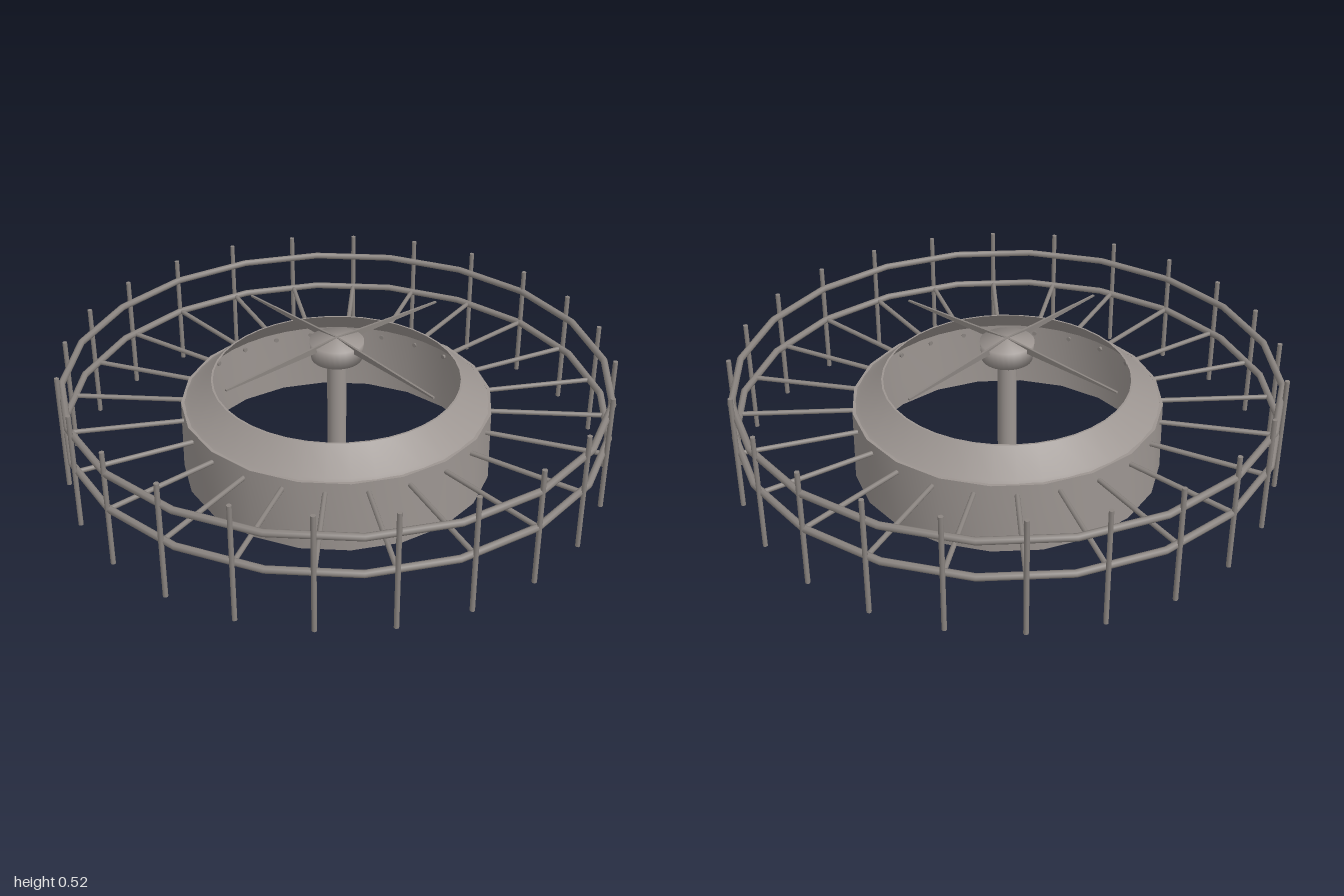
import * as THREE from 'three';
import { toCreasedNormals } from 'three/addons/utils/BufferGeometryUtils.js';

const bodyMetal = new THREE.MeshStandardMaterial({ color: 0x9c9591, side: THREE.DoubleSide });
const barMetal = new THREE.MeshStandardMaterial({ color: 0x8a8480, side: THREE.DoubleSide });

function add(parent, name, geometry, material, y = 0) {
  const mesh = new THREE.Mesh(geometry, material);
  mesh.name = name;
  mesh.position.y = y;
  parent.add(mesh);
  return mesh;
}

function lathe(points, sides) {
  return new THREE.LatheGeometry(points.map(([r, y]) => new THREE.Vector2(r, y)), sides);
}

// Turned part with crisp profile corners and smooth sides
function turned(points, sides) {
  return toCreasedNormals(lathe(points, sides), 0.42);
}

export function createModel() {
  const model = new THREE.Group();
  model.name = 'rotorWithGuardRail';
  const railHeights = [0.23, 0.37];

  // Drum wall and its sloping collar, open at top and bottom
  add(model, 'drumWall', turned([
    [0.555, 0], [0.57, 0], [0.567, 0.272], [0.555, 0.272], [0.555, 0],
  ], 20), bodyMetal);
  add(model, 'drumCollar', turned([
    [0.56, 0.268], [0.54, 0.278], [0.455, 0.36], [0.448, 0.36], [0.53, 0.27], [0.56, 0.268],
  ], 40), bodyMetal);

  // Guard rails
  for (const y of railHeights) {
    const rail = new THREE.TorusGeometry(0.985, 0.013, 8, 20).rotateX(Math.PI / 2);
    add(model, 'guardRail', rail, barMetal, y);
  }

  // Posts and spokes every 15 degrees
  const postGeometry = new THREE.CylinderGeometry(0.009, 0.009, 0.445, 8);
  const spokeGeometry = new THREE.CylinderGeometry(0.009, 0.009, 0.44, 8)
    .rotateZ(Math.PI / 2).translate(0.765, 0, 0);
  for (let i = 0; i < 24; i++) {
    const bay = new THREE.Group();
    bay.name = 'railBay';
    bay.rotation.y = (i * Math.PI) / 12;
    add(bay, 'post', postGeometry, barMetal, 0.2325).position.x = 0.99;
    add(bay, 'spoke', spokeGeometry, barMetal, railHeights[0]);
    model.add(bay);
  }

  // Central shaft and softly shaded hub
  add(model, 'shaft', new THREE.CylinderGeometry(0.035, 0.035, 0.44, 24), bodyMetal, 0.22);
  add(model, 'hub', lathe([
    [0, 0.435], [0.092, 0.435], [0.098, 0.503], [0, 0.515],
  ], 32), bodyMetal);

  // Four thin tapering blades set on edge
  const outline = new THREE.Shape([
    [0, 0.488], [0.495, 0.486], [0.495, 0.492], [0, 0.516],
  ].map(([x, y]) => new THREE.Vector2(x, y)));
  const bladeGeometry = new THREE.ExtrudeGeometry(outline, { depth: 0.008, bevelEnabled: false })
    .translate(0, 0, -0.004);
  for (let i = 0; i < 4; i++) {
    add(model, 'blade', bladeGeometry, barMetal).rotation.y = (i * Math.PI) / 2;
  }
  return model;
}
